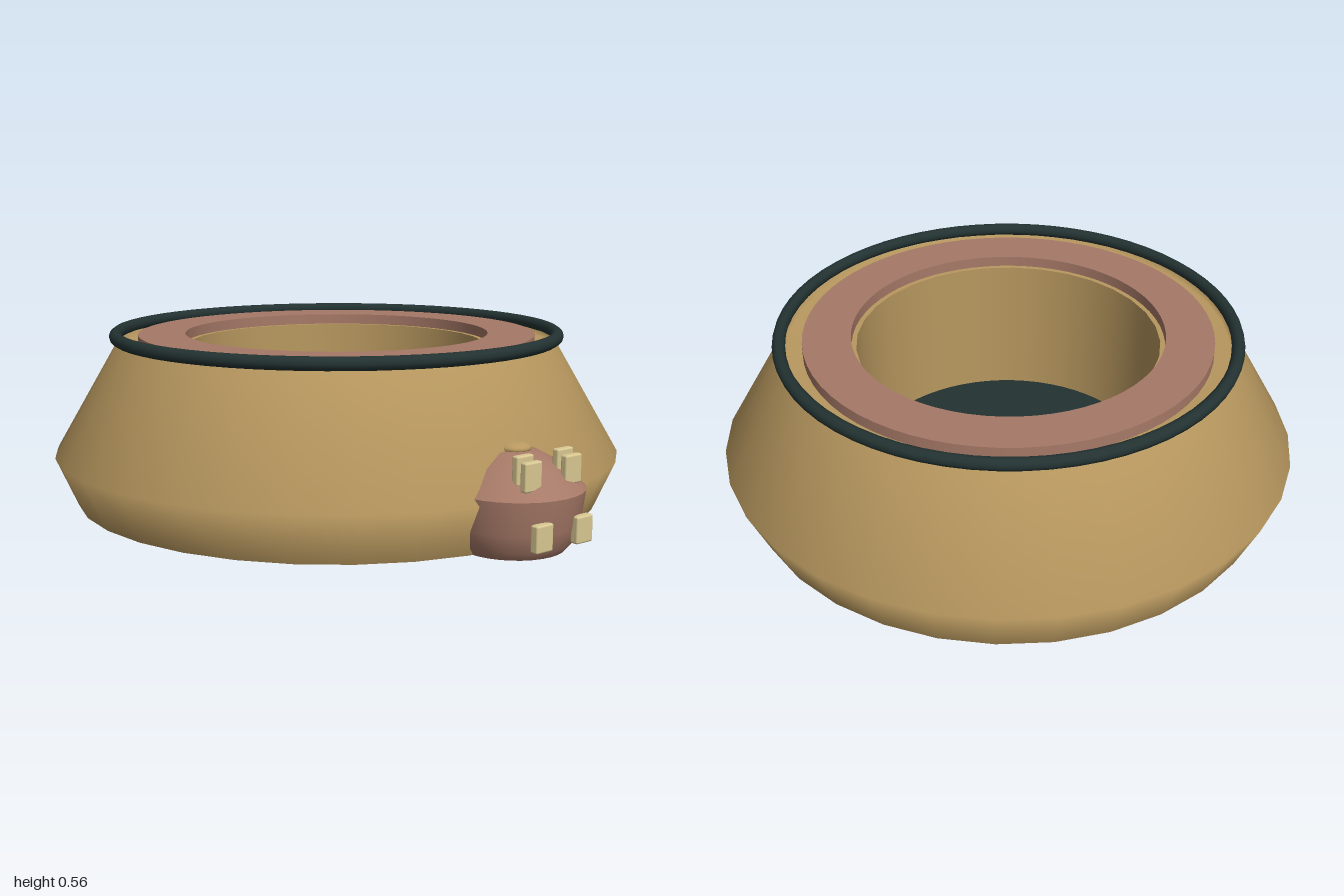
import * as THREE from 'three';
import { mergeGeometries } from 'three/addons/utils/BufferGeometryUtils.js';
import { RoundedBoxGeometry } from 'three/addons/geometries/RoundedBoxGeometry.js';

const material = (name, color) => {
  const m = new THREE.MeshStandardMaterial({ color });
  m.name = name;
  return m;
};

// Revolve several [radius, y] runs; smooth inside a run, sharp between runs
const revolve = (runs, sides) => mergeGeometries(runs.map(run =>
  new THREE.LatheGeometry(run.map(([r, y]) => new THREE.Vector2(r, y)), sides)));

export function createModel() {
  const tan = material('sand', 0xb8985f);
  const clay = material('clay', 0xa67967);
  const dark = material('darkSlate', 0x233232);
  const cream = material('cream', 0xd8c892);

  const model = new THREE.Group();
  model.name = 'arena';
  const add = (name, geometry, mat, x, y, z, parent = model) => {
    const mesh = new THREE.Mesh(geometry, mat);
    mesh.name = name;
    mesh.position.set(x, y, z);
    parent.add(mesh);
    return mesh;
  };

  // Round building, set back from the entrance
  const bowl = new THREE.Group();
  bowl.name = 'bowl';
  bowl.position.z = -0.06;
  model.add(bowl);

  add('bowlShell', revolve([
    [[0, 0], [0.87, 0]],
    [[0.87, 0], [0.94, 0.16], [0.725, 0.53]],
    [[0.725, 0.53], [0.715, 0.51], [0.49, 0.51]],
  ], 32), tan, 0, 0, 0, bowl);
  add('innerWall', revolve([[[0.49, 0.51], [0.49, 0.03]]], 64), tan, 0, 0, 0, bowl);

  // Raised flat ring around the opening
  add('deckRing', revolve([
    [[0.66, 0.505], [0.66, 0.545]],
    [[0.66, 0.545], [0.505, 0.545]],
    [[0.505, 0.545], [0.505, 0.505]],
  ], 64), clay, 0, 0, 0, bowl);

  // Dark rim
  const rim = new THREE.TorusGeometry(0.733, 0.021, 10, 64);
  rim.rotateX(Math.PI / 2);
  add('rim', rim, dark, 0, 0.543, 0, bowl);

  // Floor with a small centre marker
  const floor = new THREE.CircleGeometry(0.492, 64);
  floor.rotateX(-Math.PI / 2);
  add('floor', floor, dark, 0, 0.035, 0, bowl);
  add('floorMarker', new THREE.BoxGeometry(0.02, 0.02, 0.065), clay, 0, 0.045, 0, bowl);

  // Entrance lodge at the front
  const lodge = new THREE.Group();
  lodge.name = 'lodge';
  lodge.position.z = 0.785;
  model.add(lodge);

  add('lodgeBody', revolve([
    [[0, 0], [0.16, 0]],
    [[0.16, 0], [0.18, 0.025], [0.2, 0.08], [0.213, 0.18]],
    [[0.213, 0.18], [0.135, 0.25], [0.07, 0.285], [0, 0.295]],
  ], 32), clay, 0, 0, 0, lodge);

  const cap = new THREE.SphereGeometry(0.05, 20, 12);
  cap.scale(1, 0.4, 1);
  add('lodgeCap', cap, tan, 0, 0.292, 0.005, lodge);

  // Cream blocks: a lower pair and two rows on the sloped roof
  for (const side of [-1, 1]) {
    add('lowerBlock', new RoundedBoxGeometry(0.065, 0.08, 0.028, 2, 0.006),
      cream, side * 0.08, 0.08, 0.2, lodge);
    add('roofBlockFront', new RoundedBoxGeometry(0.065, 0.085, 0.024, 2, 0.006),
      cream, side * 0.08, 0.245, 0.153, lodge);
    add('roofBlockBack', new RoundedBoxGeometry(0.065, 0.085, 0.024, 2, 0.006),
      cream, side * 0.08, 0.258, 0.12, lodge);
  }

  return model;
}
